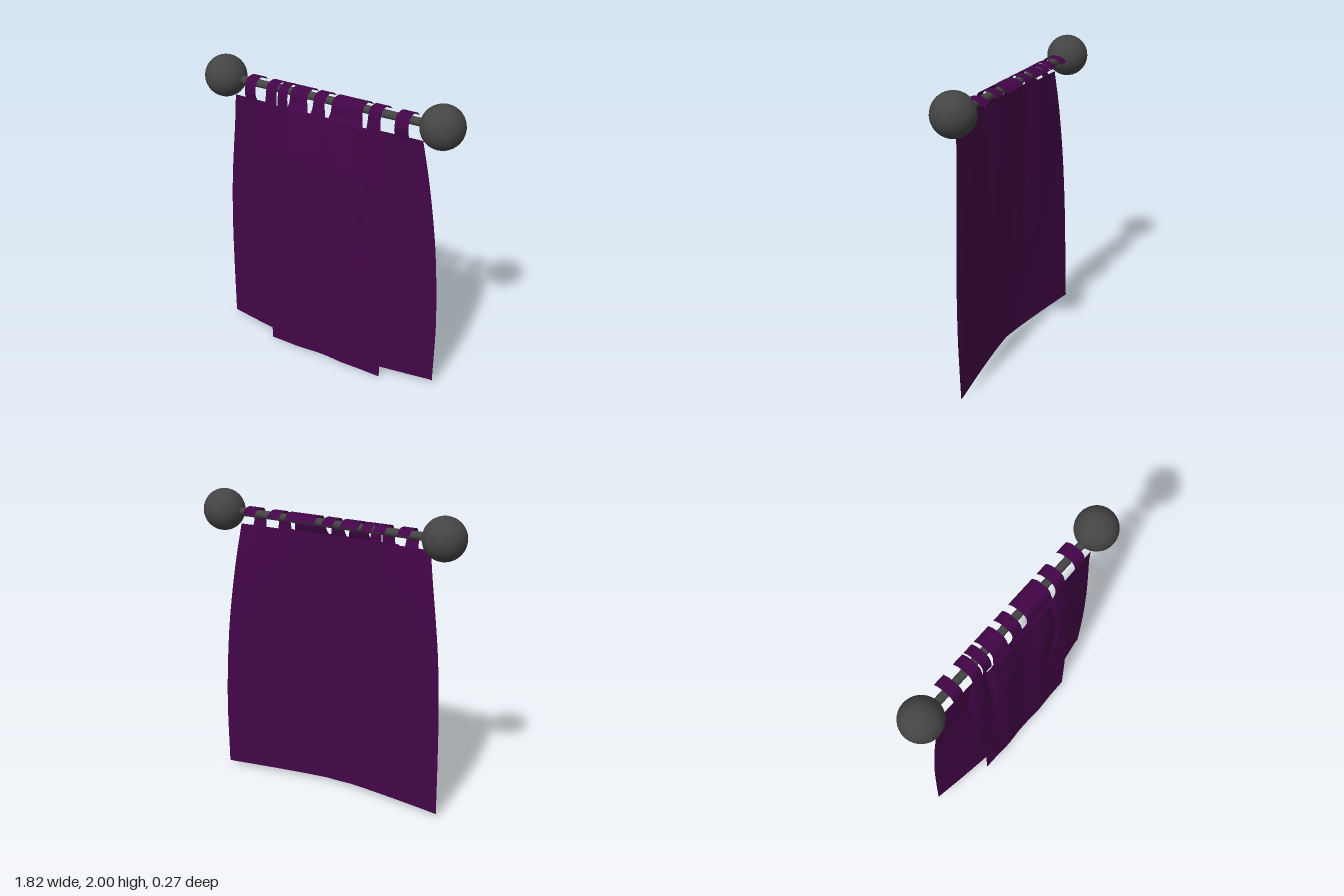
import * as THREE from 'three';

const ROD_Y = 1.862;
const metal = new THREE.MeshStandardMaterial({ color: 0x444444 });
const cloth = new THREE.MeshStandardMaterial({ color: 0x430548, side: THREE.DoubleSide });
const { lerp, clamp, smoothstep } = THREE.MathUtils;

// Smooth curve through [y, value] pairs, listed from the top down
function follow(pairs) {
  return (y) => {
    let i = 0;
    while (i < pairs.length - 2 && y < pairs[i + 1][0]) i++;
    const [y0, a] = pairs[i], [y1, b] = pairs[i + 1];
    const [yp, p] = pairs[Math.max(i - 1, 0)];
    const [yn, n] = pairs[Math.min(i + 2, pairs.length - 1)];
    const t = clamp((y - y0) / (y1 - y0), 0, 1);
    const ma = ((b - p) / (y1 - yp)) * (y1 - y0);
    const mb = ((n - a) / (yn - y0)) * (y1 - y0);
    const t2 = t * t, t3 = t2 * t;
    return a * (2 * t3 - 3 * t2 + 1) + ma * (t3 - 2 * t2 + t) + b * (3 * t2 - 2 * t3) + mb * (t3 - t2);
  };
}

const bump = (x, centre, width) => Math.exp(-(((x - centre) / width) ** 2));

// Cloth strip: place(u, v) gives the point across (u) and up (v)
function clothMesh(name, columns, rows, place) {
  const geo = new THREE.PlaneGeometry(1, 1, columns, rows);
  const pos = geo.attributes.position;
  for (let i = 0; i < pos.count; i++) {
    pos.setXYZ(i, ...place(pos.getX(i) + 0.5, pos.getY(i) + 0.5));
  }
  geo.computeVertexNormals();
  const mesh = new THREE.Mesh(geo, cloth);
  mesh.name = name;
  return mesh;
}

// Hanging sheet bounded by two edge curves, with depth(x, y, u) giving its folds
function sheet(name, bottom, left, right, depth) {
  return clothMesh(name, 80, 40, (u, v) => {
    const y = lerp(bottom(u), TOP, v);
    const x = lerp(left(y), right(y), u);
    return [x, y, depth(x, y, u)];
  });
}

// Strap rising from the sheet and hooking back over the rod
function tab(x0, x1, flare, startZ) {
  const path = new THREE.CatmullRomCurve3([
    [1.76, startZ], [1.81, 0.066], [1.86, 0.06], [1.892, 0.042],
    [1.903, 0], [1.896, -0.045], [1.868, -0.08],
  ].map(([y, z]) => new THREE.Vector3(0, y, z)));
  return clothMesh('tab', 4, 20, (u, v) => {
    const p = path.getPoint(v);
    const grow = flare * Math.max(0, 1 - v / 0.35) ** 2;
    return [lerp(x0 - grow, x1 + grow, u), p.y, p.z];
  });
}

// Outlines and folds of the two layers
const TOP = 1.77;
const rearRight = follow([[TOP, -0.67], [1.19, -0.75], [0.8, -0.78], [0.4, -0.793], [0.028, -0.8]]);
const rearLeft = follow([[TOP, 0.675], [1.35, 0.738], [0.97, 0.78], [0.5, 0.803], [0.028, 0.795]]);
const frontRight = follow([[TOP, -0.45], [1.53, -0.48], [0.92, -0.43], [0.4, -0.403], [0, -0.4]]);
const frontLeft = follow([[TOP, 0.36], [1.5, 0.405], [0.97, 0.445], [0.4, 0.46], [0, 0.46]]);
const leftCrease = follow([[TOP, 0.28], [1.55, 0.28], [1.35, 0.32], [1.15, 0.31], [0.6, 0.21], [0, 0.19]]);
const rightCrease = follow([[TOP, -0.32], [1.5, -0.305], [1, -0.29], [0.5, -0.25], [0, -0.2]]);
const rearEdgeZ = follow([[TOP, 0.042], [1.52, 0.018], [0.97, 0], [0, -0.02]]);

// The rear layer's outer edges drift back while its middle nears the front layer
function rearDepth(x, y) {
  const centre = lerp(0.088, 0.055, smoothstep(y, 0.2, TOP));
  const out = Math.min(1, Math.abs(x + 0.03) / 0.8) ** 1.25;
  const folds = 0.022 * (bump(x, 0.25, 0.08) + bump(x, -0.28, 0.07)) * smoothstep(y, 0.5, 1.5);
  return lerp(centre, rearEdgeZ(y), out) + folds;
}

// The front layer has two ridges and pinched creases beside them
function frontDepth(x, y) {
  const swell = clamp((TOP - y) / 0.3, 0, 1);
  const pinch = smoothstep(y, 0.3, 1.5);
  const ridges = 0.022 * (bump(x, -0.17, 0.1) + bump(x, 0.17, 0.1));
  const creases = 0.02 * (bump(x, rightCrease(y), 0.025) * smoothstep(y, 0.9, 1.6)
    + bump(x, leftCrease(y), 0.02) * pinch);
  const sideTuck = 0.025 * bump(x, -0.5, 0.06) * pinch;
  return 0.082 + 0.02 * swell + ridges * (0.35 + 0.65 * pinch) * (0.4 + 0.6 * swell) - creases - sideTuck;
}

export function createModel() {
  const model = new THREE.Group();

  // Rod with a ball at each end
  const rod = new THREE.Mesh(new THREE.CylinderGeometry(0.026, 0.026, 1.5, 20), metal);
  rod.name = 'rod';
  rod.rotation.z = Math.PI / 2;
  rod.position.y = ROD_Y;
  model.add(rod);
  for (const side of [-1, 1]) {
    const ball = new THREE.Mesh(new THREE.SphereGeometry(0.136, 32, 24), metal);
    ball.name = side > 0 ? 'leftFinial' : 'rightFinial';
    ball.position.set(side * 0.774, ROD_Y + 0.002, 0);
    model.add(ball);
  }

  // Wide rear layer and narrower front layer
  const frontHem = (u) => 0.003 + 0.01 * Math.sin(u * Math.PI) ** 2;
  model.add(sheet('rearCurtain', () => 0.028, rearRight, rearLeft, rearDepth));
  model.add(sheet('frontCurtain', frontHem, frontRight, frontLeft, frontDepth));

  // Cloth turning back from each front edge and running inward to the rear layer
  const turn = (x, y, t) => lerp(frontDepth(x, y), rearDepth(x, y), 0.3 * Math.min(1, t / 0.08) + 0.7 * t * t);
  model.add(sheet('rightFoldReturn', (u) => lerp(0.003, 0.028, u), frontRight, () => -0.09,
    (x, y, u) => turn(x, y, u)));
  model.add(sheet('leftFoldReturn', (u) => lerp(0.028, 0.003, u), () => 0.05, frontLeft,
    (x, y, u) => turn(x, y, 1 - u)));

  // Tabs: from x, to x, widening at the foot, depth of the foot
  const tabs = [
    [-0.58, -0.5, 0.005, 0.05], [-0.42, -0.34, 0.005, 0.075], [-0.33, -0.26, 0.005, 0.065],
    [-0.24, -0.115, 0.02, 0.088], [-0.07, 0.01, 0.02, 0.083], [0.06, 0.275, 0.02, 0.088],
    [0.315, 0.4, 0.008, 0.07], [0.495, 0.585, 0.005, 0.05],
  ];
  for (const t of tabs) model.add(tab(...t));

  return model;
}
